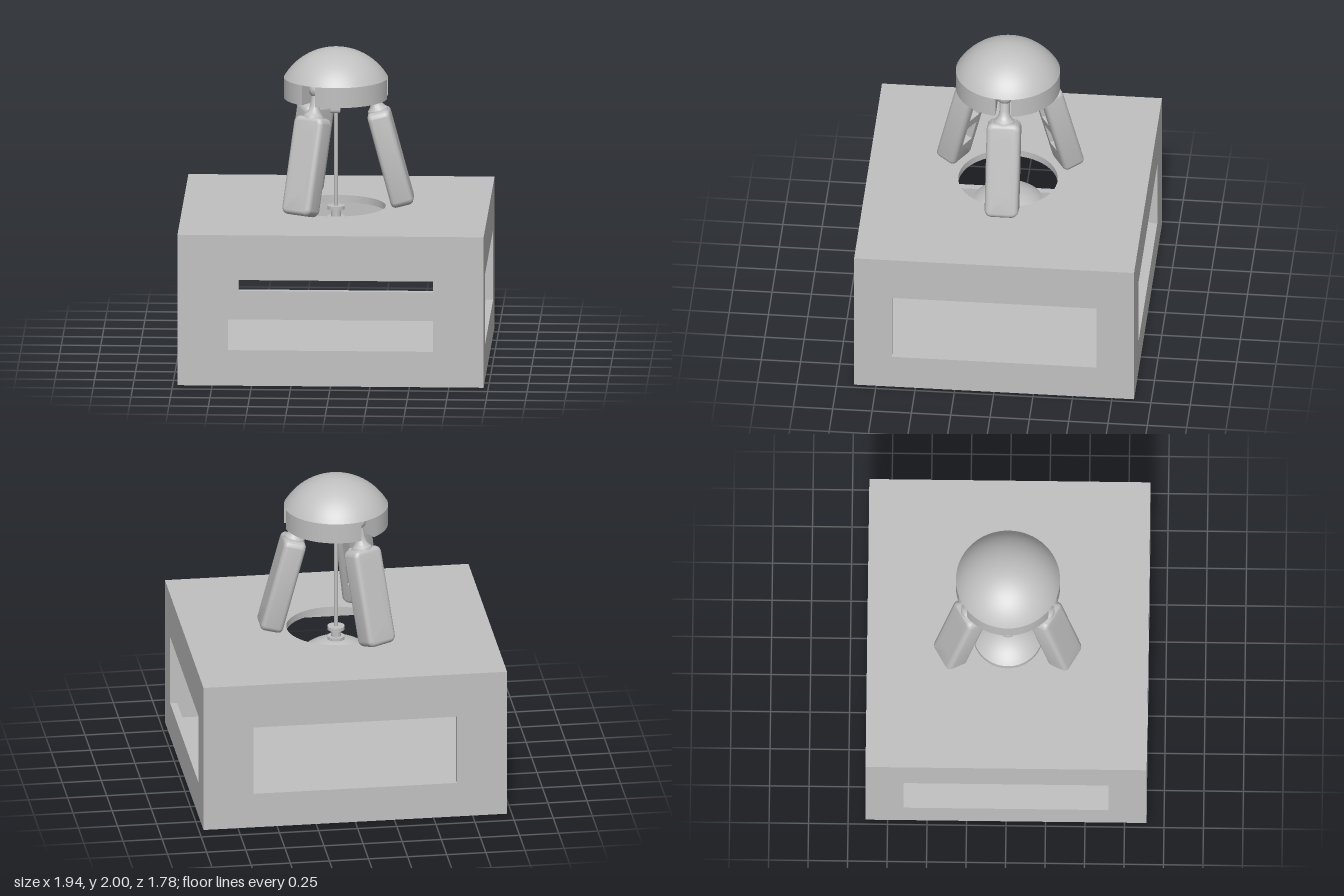
import * as THREE from 'three';
import { toCreasedNormals } from 'three/addons/utils/BufferGeometryUtils.js';

const grey = new THREE.MeshStandardMaterial({ color: 0xc0c0c0 });
grey.name = 'light grey';

function add(parent, name, geometry, x = 0, y = 0, z = 0) {
  const mesh = new THREE.Mesh(geometry, grey);
  mesh.name = name;
  mesh.position.set(x, y, z);
  parent.add(mesh);
  return mesh;
}

function rectangle(target, x0, y0, x1, y1) {
  target.moveTo(x0, y0);
  target.lineTo(x1, y0);
  target.lineTo(x1, y1);
  target.lineTo(x0, y1);
  target.closePath();
  return target;
}

const extrude = (shape, depth) =>
  new THREE.ExtrudeGeometry(shape, { depth, bevelEnabled: false, curveSegments: 48 });

const lathe = (points, segments = 64) =>
  toCreasedNormals(new THREE.LatheGeometry(points.map(([x, y]) => new THREE.Vector2(x, y)), segments), 0.5);

// Points of a spherical cap, from its rim to its apex
function capProfile(radius, bottom, top, steps = 20) {
  const h = top - bottom;
  const R = (radius * radius + h * h) / (2 * h);
  const start = Math.asin(radius / R);
  return Array.from({ length: steps + 1 }, (_, i) => {
    const a = start * (1 - i / steps);
    return [R * Math.sin(a), top - R + R * Math.cos(a)];
  });
}

// Open-sided box with a round hole in its lid
function makeBase() {
  const base = new THREE.Group();
  base.name = 'base';
  const X = 0.97, Z = 0.89, H = 0.975, t = 0.045;
  const wall = (half) => {
    const shape = rectangle(new THREE.Shape(), -half, 0, half, H);
    shape.holes.push(rectangle(new THREE.Path(), -0.65, 0.23, 0.65, 0.685));
    return extrude(shape, t);
  };
  add(base, 'frontWall', wall(X), 0, 0, Z - t);
  add(base, 'backWall', wall(X), 0, 0, -Z);
  const side = wall(Z - t).rotateY(Math.PI / 2);
  add(base, 'leftWall', side, X - t, 0, 0);
  add(base, 'rightWall', side, -X, 0, 0);
  add(base, 'floor', new THREE.BoxGeometry(2 * (X - t), t, 2 * (Z - t)), 0, t / 2, 0);
  const lid = rectangle(new THREE.Shape(), t - X, t - Z, X - t, Z - t);
  lid.holes.push(new THREE.Path().absarc(0, 0, 0.315, 0, Math.PI * 2, true));
  add(base, 'lid', extrude(lid, t).rotateX(-Math.PI / 2), 0, H - t, 0);
  return base;
}

// Spherical cap on a rim with three slots for the leg joints
function makeHead() {
  const head = new THREE.Group();
  head.name = 'head';
  const r = 0.33, half = 0.05, inner = 0.16, gap = Math.asin(half / r);
  const rim = new THREE.Shape();
  for (let i = 0; i < 3; i++) {
    const a = (i * Math.PI * 2) / 3, c = Math.cos(a), s = Math.sin(a);
    const corner = (u, v) => [u * c - v * s, u * s + v * c];
    const outer = r * Math.cos(gap);
    if (i === 0) rim.moveTo(...corner(outer, -half));
    rim.lineTo(...corner(inner, -half));
    rim.lineTo(...corner(inner, half));
    rim.lineTo(...corner(outer, half));
    rim.absarc(0, 0, r, a + gap, a + (Math.PI * 2) / 3 - gap, false);
  }
  add(head, 'slottedRim', toCreasedNormals(extrude(rim, 0.13).rotateX(-Math.PI / 2), 0.5), 0, 1.68, 0);
  add(head, 'domeCap', lathe([[0, 1.81], ...capProfile(r, 1.81, 2)]));

  // U-shaped hanger under the head
  const u = new THREE.Shape();
  u.moveTo(-0.13, 0.09);
  u.lineTo(-0.13, 0.025);
  u.quadraticCurveTo(-0.13, 0, -0.105, 0);
  u.lineTo(0.105, 0);
  u.quadraticCurveTo(0.13, 0, 0.13, 0.025);
  u.lineTo(0.13, 0.09);
  u.lineTo(0.085, 0.09);
  u.lineTo(0.085, 0.03);
  u.lineTo(-0.085, 0.03);
  u.lineTo(-0.085, 0.09);
  u.closePath();
  const hanger = extrude(u, 0.06).translate(0, 0, -0.03).rotateY(Math.PI / 2);
  add(head, 'hanger', hanger, 0, 1.6, 0);
  return head;
}

// Rounded leg body, with two pockets in the face turned to the middle
function makeLegBody() {
  const body = new THREE.Group();
  body.name = 'legBody';
  const b = 0.03, w = 0.107 - b, top = -0.176 - b, bottom = -0.806 + b, c = 0.015;
  const pockets = [-0.352, -0.571], px = 0.05, py = 0.075;
  const shape = new THREE.Shape();
  shape.absarc(w - c, top - c, c, 0, Math.PI / 2, false);
  shape.absarc(c - w, top - c, c, Math.PI / 2, Math.PI, false);
  shape.absarc(c - w, bottom + c, c, Math.PI, Math.PI * 1.5, false);
  shape.absarc(w - c, bottom + c, c, Math.PI * 1.5, Math.PI * 2, false);
  shape.closePath();
  for (const y of pockets) shape.holes.push(rectangle(new THREE.Path(), -px, y - py, px, y + py));
  const depth = 0.145 - 2 * b;
  const geometry = new THREE.ExtrudeGeometry(shape, {
    depth, bevelSize: b, bevelThickness: b, bevelSegments: 5, curveSegments: 5,
  });
  // Straighten the pocket walls, so only the outer edges stay rounded
  const p = geometry.attributes.position;
  for (let i = 0; i < p.count; i++) {
    const x = p.getX(i), y = p.getY(i);
    const pocket = pockets.find((m) => Math.abs(y - m) < py + 0.005);
    if (Math.abs(x) > px + 0.005 || pocket === undefined) continue;
    p.setXY(i, Math.sign(x) * px, pocket + Math.sign(y - pocket) * py);
  }
  geometry.translate(0, 0, -depth / 2).rotateY(Math.PI / 2);
  add(body, 'legShell', toCreasedNormals(geometry, 0.6));
  for (const y of pockets)
    add(body, 'pocketBack', new THREE.BoxGeometry(0.045, 2 * py, 2 * px), 0.05, y, 0);
  return body;
}

function makeLeg() {
  const leg = new THREE.Group();
  leg.name = 'leg';
  leg.position.set(0.22, 1.77, 0);
  leg.rotation.z = THREE.MathUtils.degToRad(15);
  add(leg, 'ballJoint', new THREE.SphereGeometry(0.055, 32, 20));
  add(leg, 'neck', lathe([[0.068, -0.19], [0.065, -0.172], [0.054, -0.16], [0.042, -0.145],
    [0.035, -0.125], [0.032, -0.1], [0.032, -0.03]], 32));
  leg.add(makeLegBody());
  return leg;
}

// Rod with a collared bell hanging in the hole
function makePendulum() {
  const pendulum = new THREE.Group();
  pendulum.name = 'pendulum';
  add(pendulum, 'rod', new THREE.CylinderGeometry(0.012, 0.012, 0.7, 24), 0, 1.28, 0);
  add(pendulum, 'collar', lathe([[0, 0.88], [0.055, 0.88], [0.055, 0.91], [0.032, 0.91],
    [0.032, 0.95], [0.055, 0.955], [0.055, 0.978], [0, 0.978]], 32));
  add(pendulum, 'bell', lathe([[0, 0.77], [0.22, 0.77], ...capProfile(0.22, 0.81, 0.895, 12)]));
  return pendulum;
}

export function createModel() {
  const model = new THREE.Group();
  model.name = 'tripodOnBox';
  model.add(makeBase(), makeHead(), makePendulum());
  for (let i = 0; i < 3; i++) {
    const pivot = new THREE.Group();
    pivot.name = 'legPivot';
    pivot.rotation.y = (i * Math.PI * 2) / 3;
    pivot.add(makeLeg());
    model.add(pivot);
  }
  return model;
}
